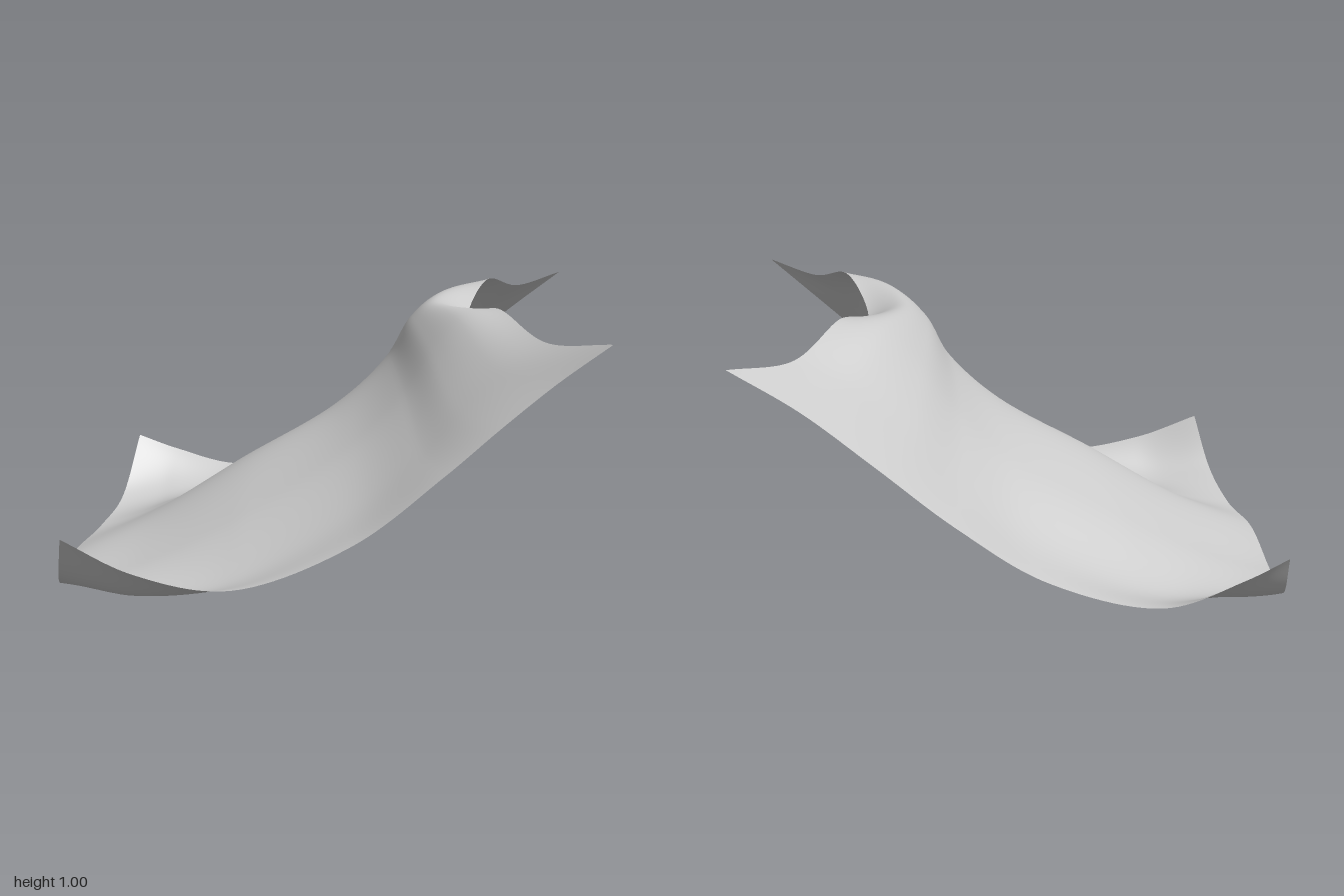
import * as THREE from 'three';

const { smoothstep } = THREE.MathUtils;
const curve = (points) => new THREE.CatmullRomCurve3(points);
const profile = (...rows) => curve(rows.map((p) => new THREE.Vector3(...p)));

// Lengthwise profiles, from the low end to the high end
const backHem = profile([-0.81, 0.26, -0.945], [-0.65, 0.195, -0.956], [-0.38, 0.122, -0.962], [0, 0.215, -0.905],
  [0.3, 0.415, -0.878], [0.55, 0.625, -0.86], [0.78, 0.815, -0.845], [1, 0.97, -0.875]);
const ridge = profile([-1, 0.025, 0], [-0.7, 0.16, 0], [-0.35, 0.375, 0], [0, 0.58, 0],
  [0.19, 0.76, 0], [0.275, 0.91, 0], [0.36, 0.972, 0], [0.49, 0.925, 0]);
const frontHem = profile([-0.965, 0.28, 0.68], [-0.72, 0.175, 0.748], [-0.4, 0.13, 0.797], [0, 0.28, 0.815],
  [0.3, 0.52, 0.845], [0.48, 0.685, 0.87], [0.65, 0.835, 0.9], [0.81, 0.97, 0.96]);

// Crosswise curve: the cloth sags into a valley at the low end and swells at the high end
function crossCurve(s) {
  const [back, middle, front] = [backHem, ridge, frontHem].map((c) => c.getPoint(s));
  const low = 1 - smoothstep(s, 0, 0.2);
  const high = smoothstep(s, 0.3, 1);
  const shift = -0.02 * low - 0.095 * high;
  const innerLift = -0.12 + 0.16 * smoothstep(s, 0, 0.45) + 0.02 * high;
  const outerLift = -0.13 + 0.1 * smoothstep(s, 0.1, 0.45) + 0.01 * high;
  const between = (hem, weight, lift) => {
    const p = middle.clone().lerp(hem, weight);
    p.x += shift;
    p.y += lift;
    return p;
  };
  return curve([
    back, between(back, 0.78, outerLift - 0.03 * low), between(back, 0.44, innerLift),
    middle,
    between(front, 0.44, innerLift), between(front, 0.78, outerLift), front,
  ]);
}

// Skin the crosswise curves as one smooth sheet
function clothGeometry(n) {
  const positions = [];
  const indices = [];
  for (let i = 0; i <= n; i++) {
    const cross = crossCurve(i / n);
    for (let j = 0; j <= n; j++) {
      positions.push(...cross.getPoint(j / n).toArray());
      if (i < n && j < n) {
        const a = i * (n + 1) + j;
        const b = a + n + 1;
        indices.push(a, a + 1, b, b, a + 1, b + 1);
      }
    }
  }
  const geometry = new THREE.BufferGeometry();
  geometry.setAttribute('position', new THREE.Float32BufferAttribute(positions, 3));
  geometry.setIndex(indices);
  geometry.computeVertexNormals();
  geometry.computeBoundingBox();
  geometry.translate(0, -geometry.boundingBox.min.y, 0);
  return geometry;
}

export function createModel() {
  const group = new THREE.Group();
  group.name = 'drapedSheet';
  const material = new THREE.MeshStandardMaterial({ color: 0xcccccc, side: THREE.DoubleSide });
  const cloth = new THREE.Mesh(clothGeometry(80), material);
  cloth.name = 'cloth';
  group.add(cloth);
  return group;
}
